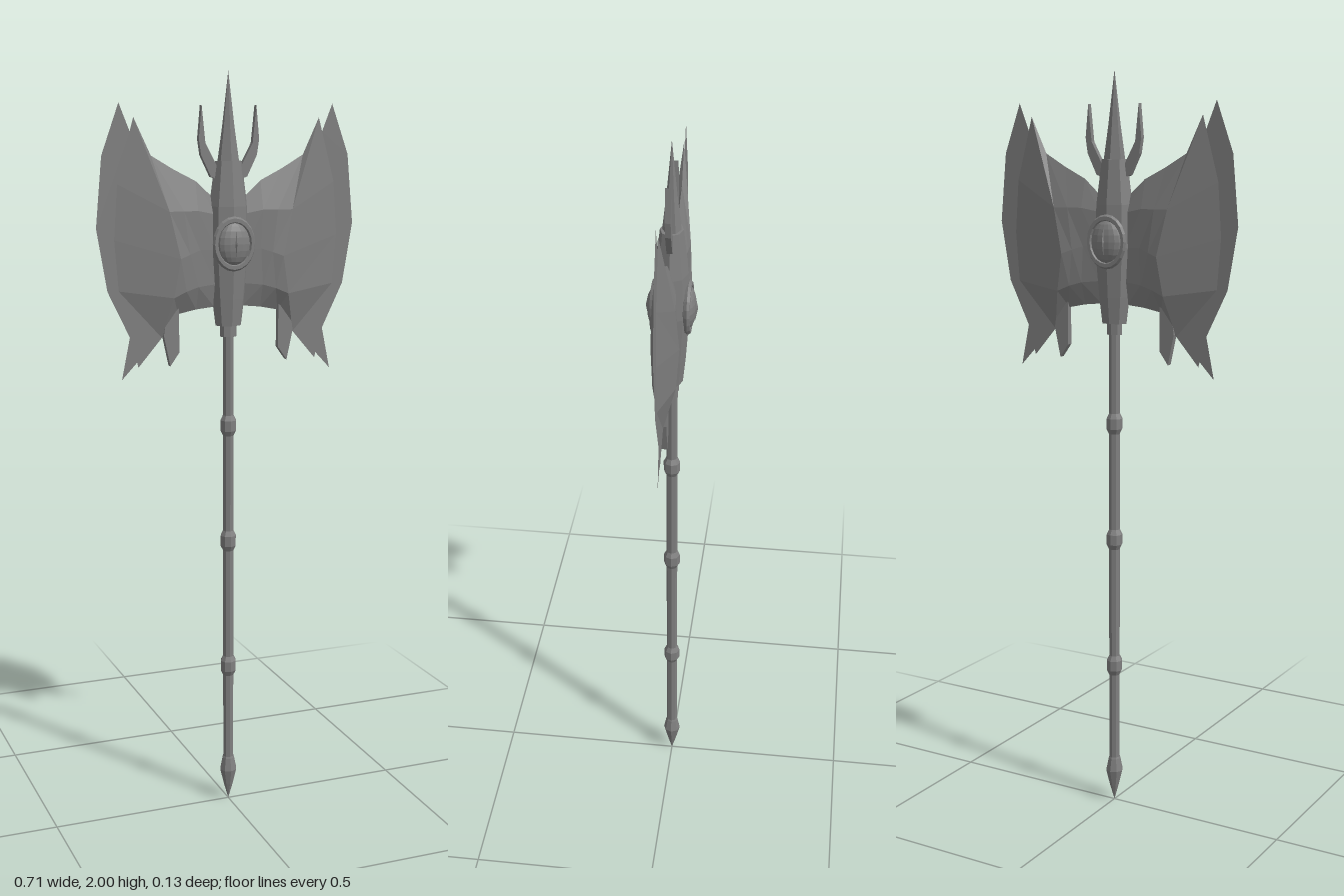
import * as THREE from 'three';

export function createModel() {
  const model = new THREE.Group();
  const steel = new THREE.MeshStandardMaterial({ color: 0x7f7f7f, flatShading: true });
  steel.name = 'grey steel';
  const thinSteel = new THREE.MeshStandardMaterial({ color: 0x7f7f7f, flatShading: true, side: THREE.DoubleSide });
  thinSteel.name = 'thin grey steel';

  const add = (parent, name, geometry, material = steel) => {
    const mesh = new THREE.Mesh(geometry, material);
    mesh.name = name;
    parent.add(mesh);
    return mesh;
  };
  const lathe = (points, sides) =>
    new THREE.LatheGeometry(points.map(([r, y]) => new THREE.Vector2(r, y)), sides);
  const outline = (points) => new THREE.Shape(points.map(([x, y]) => new THREE.Vector2(x, y)));

  // Shaft with pointed pommel and three beads
  const shaft = [[0, 0], [0.013, 0.045], [0.024, 0.09], [0.017, 0.125], [0.015, 0.13]];
  for (const y of [0.4, 0.76, 1.08]) {
    shaft.push([0.015, y - 0.028], [0.022, y - 0.014], [0.022, y + 0.014], [0.015, y + 0.028]);
  }
  shaft.push([0.015, 1.34]);
  add(model, 'shaft', lathe(shaft, 8));

  // Faceted head socket and top spike
  add(model, 'socket', lathe([[0, 1.32], [0.023, 1.32], [0.023, 1.35], [0.036, 1.35], [0.045, 1.42],
    [0.057, 1.55], [0.053, 1.66], [0.037, 1.775], [0, 1.775]], 8)).scale.z = 0.78;
  add(model, 'topSpike', lathe([[0.03, 1.77], [0.017, 1.86], [0, 2]], 6)).scale.z = 0.8;

  // Blade cross-sections from top to bottom: root, middle, inner ridge, ridge, edge
  const rows = [
    [[0.04, 1.68, 0], [0.09, 1.725, 0], [0.15, 1.755, 0], [0.21, 1.79, 0], [0.255, 1.885, 0]],
    [[0.04, 1.64, 0.012], [0.09, 1.65, 0.02], [0.13, 1.65, 0.025], [0.17, 1.65, 0.028], [0.3, 1.72, 0]],
    [[0.04, 1.55, 0.014], [0.085, 1.55, 0.02], [0.115, 1.54, 0.028], [0.143, 1.53, 0.035], [0.31, 1.58, 0]],
    [[0.04, 1.46, 0.012], [0.09, 1.455, 0.02], [0.125, 1.445, 0.026], [0.16, 1.43, 0.029], [0.3, 1.45, 0]],
    [[0.04, 1.4, 0], [0.09, 1.395, 0], [0.14, 1.385, 0], [0.185, 1.325, 0], [0.25, 1.25, 0]],
  ];
  const bladeGeometry = () => {
    const position = [];
    const index = [];
    const columns = rows[0].length;
    for (const side of [1, -1]) {
      const start = position.length / 3;
      for (const row of rows) for (const [x, y, z] of row) position.push(x, y, z * side);
      for (let r = 0; r < rows.length - 1; r++) {
        for (let c = 0; c < columns - 1; c++) {
          const a = start + r * columns + c, b = a + 1, d = a + columns, e = d + 1;
          if (side > 0) index.push(a, d, b, b, d, e);
          else index.push(a, b, d, b, e, d);
        }
      }
    }
    const geometry = new THREE.BufferGeometry();
    geometry.setAttribute('position', new THREE.Float32BufferAttribute(position, 3));
    geometry.setIndex(index);
    geometry.computeVertexNormals();
    return geometry;
  };

  // Each half: wedge blade, thin cutting edge, lower barb and crown horn
  for (const [name, turn] of [['left', 0], ['right', Math.PI]]) {
    const half = new THREE.Group();
    half.name = name + 'Half';
    half.rotation.y = turn;
    model.add(half);
    add(half, name + 'Blade', bladeGeometry());
    add(half, name + 'CuttingEdge', new THREE.ShapeGeometry(outline([
      [0.293, 1.92], [0.34, 1.79], [0.357, 1.61], [0.33, 1.45], [0.272, 1.33], [0.295, 1.22],
      [0.2, 1.32], [0.22, 1.45], [0.21, 1.6], [0.23, 1.78], [0.265, 1.85]])), thinSteel);

    const barb = new THREE.ExtrudeGeometry(outline([
      [0.14, 1.4], [0.14, 1.285], [0.165, 1.25], [0.182, 1.33], [0.17, 1.41]]),
    { depth: 0.016, bevelEnabled: false });
    add(half, name + 'Barb', barb.translate(0, 0, -0.008));

    const horn = new THREE.ExtrudeGeometry(outline([
      [0.075, 1.915], [0.065, 1.82], [0.035, 1.765], [0.035, 1.73], [0.05, 1.735], [0.077, 1.79], [0.083, 1.83]]),
    { depth: 0.014, bevelEnabled: false });
    add(half, name + 'Horn', horn.translate(0, 0, -0.007));
  }

  // Oval medallion on both faces
  for (const [name, turn] of [['front', 0], ['back', Math.PI]]) {
    const medallion = new THREE.Group();
    medallion.name = name + 'Medallion';
    medallion.position.y = 1.565;
    medallion.rotation.y = turn;
    model.add(medallion);
    const ring = add(medallion, name + 'Ring', new THREE.TorusGeometry(0.051, 0.008, 6, 20));
    ring.position.z = 0.042;
    ring.scale.y = 1.2;
    const dome = add(medallion, name + 'Dome', new THREE.SphereGeometry(1, 16, 10));
    dome.position.z = 0.04;
    dome.scale.set(0.045, 0.056, 0.021);
    const slit = add(medallion, name + 'Slit', new THREE.OctahedronGeometry(1));
    slit.position.z = 0.058;
    slit.scale.set(0.006, 0.034, 0.007);
  }
  return model;
}
